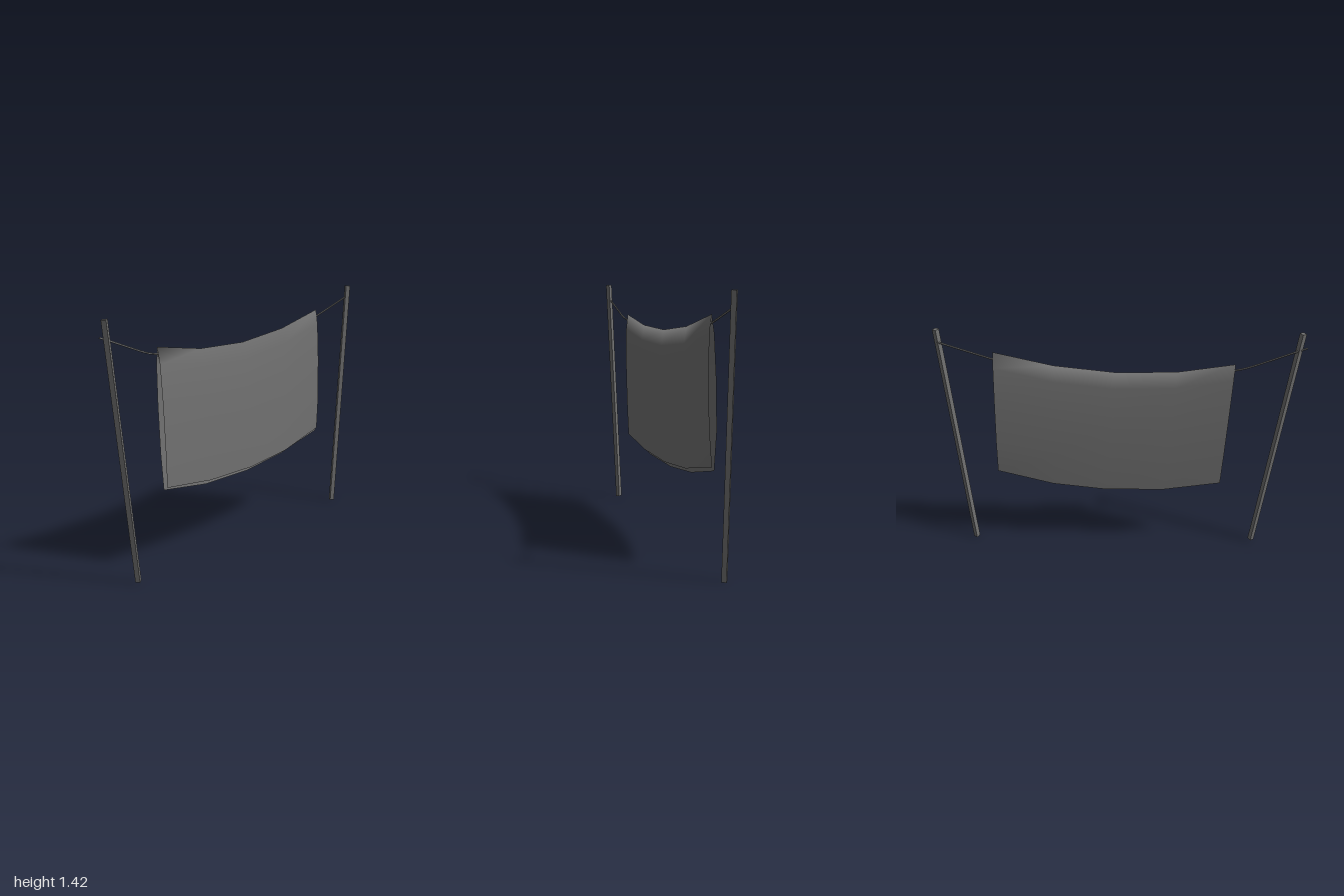
import * as THREE from 'three';

const cloth = new THREE.MeshStandardMaterial({ color: 0x747474, side: THREE.DoubleSide });
const wood = new THREE.MeshStandardMaterial({ color: 0x707070, flatShading: true });
const cord = new THREE.MeshStandardMaterial({ color: 0x707070 });

// Leaning square post between two points, twisted about its own axis
function makePost(name, bottom, top, twist) {
  const a = new THREE.Vector3(...bottom), b = new THREE.Vector3(...top);
  const dir = b.clone().sub(a);
  const geo = new THREE.BoxGeometry(0.026, dir.length(), 0.026).rotateY(twist);
  const post = new THREE.Mesh(geo, wood);
  post.name = name;
  post.position.copy(a).lerp(b, 0.5);
  post.quaternion.setFromUnitVectors(new THREE.Vector3(0, 1, 0), dir.normalize());
  return post;
}

// Sheet folded over the rope: each column runs front hem -> ridge -> back hem
function makeSheet() {
  // ridge x, ridge y, hem x, front hem y, back hem y
  const columns = [
    [-0.62, 1.235, -0.585, 0.475, 0.455],
    [-0.31, 1.185, -0.26, 0.435, 0.405],
    [0.02, 1.177, 0.08, 0.43, 0.4],
    [0.36, 1.215, 0.39, 0.46, 0.435],
    [0.685, 1.292, 0.715, 0.535, 0.515],
  ];
  // side (1 front, -1 back), drop fraction, z
  const profile = [
    [1, 1, 0.012], [1, 0.74, 0.018], [1, 0.4, 0.02], [1, 0.12, 0.013],
    [1, 0, -0.003],
    [-1, 0.12, -0.02], [-1, 0.4, -0.031], [-1, 0.74, -0.033], [-1, 1, -0.023],
  ];
  const positions = [], index = [], rows = profile.length;
  columns.forEach(([tx, ty, hx, frontY, backY], c) => {
    const bulge = 1 - 0.05 * (c - 2) ** 2;
    profile.forEach(([side, drop, z], r) => {
      const hemY = side > 0 ? frontY : backY;
      // the hem corner on the left side curls inwards on both layers
      const curl = c === 4 && drop === 1 ? -0.008 * side : 0;
      positions.push(
        THREE.MathUtils.lerp(tx, hx, drop),
        THREE.MathUtils.lerp(ty, hemY, drop),
        z * bulge + curl,
      );
      if (c < columns.length - 1 && r < rows - 1) {
        const a = c * rows + r, b = a + rows;
        index.push(a, b, b + 1, a, b + 1, a + 1);
      }
    });
  });
  const geo = new THREE.BufferGeometry();
  geo.setAttribute('position', new THREE.Float32BufferAttribute(positions, 3));
  geo.setIndex(index);
  geo.computeVertexNormals();
  const sheet = new THREE.Mesh(geo, cloth);
  sheet.name = 'hangingSheet';
  return sheet;
}

// Sagging rope that carries the sheet
function makeRope() {
  const points = [
    [-0.995, 1.33, 0.01], [-0.94, 1.31, 0.008], [-0.7, 1.216, 0.003], [-0.62, 1.198, -0.003],
    [-0.31, 1.145, -0.004], [0.02, 1.137, -0.004], [0.36, 1.175, -0.004],
    [0.68, 1.248, -0.003], [0.98, 1.345, 0.006],
  ].map((p) => new THREE.Vector3(...p));
  const curve = new THREE.CatmullRomCurve3(points, false, 'catmullrom', 0.1);
  const rope = new THREE.Mesh(new THREE.TubeGeometry(curve, 48, 0.005, 6), cord);
  rope.name = 'rope';
  return rope;
}

export function createModel() {
  const model = new THREE.Group();
  model.name = 'clothesline';
  model.add(
    makePost('rightPost', [-0.805, 0.012, 0.008], [-0.963, 1.413, 0.016], 0.6),
    makePost('leftPost', [0.89, 0.002, 0.008], [0.98, 1.415, 0.017], -0.6),
    makeRope(),
    makeSheet(),
  );
  return model;
}
